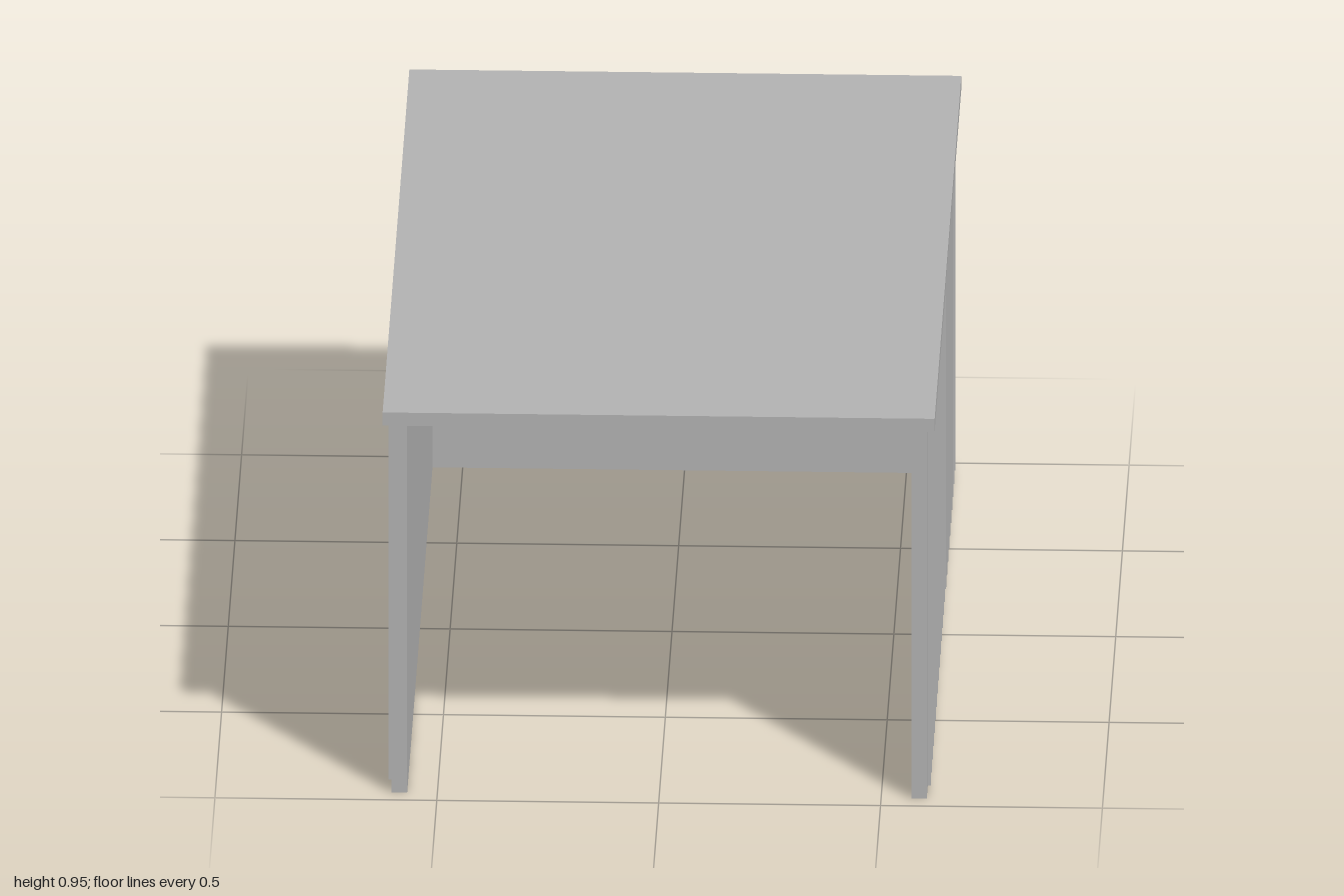
import * as THREE from 'three';

export function createModel() {
  const group = new THREE.Group();
  const grey = new THREE.MeshStandardMaterial({ color: 0xb2b2b2 });
  grey.name = 'light grey';

  // Box given by its minimum and maximum along each axis
  function box(name, [x0, x1], [y0, y1], [z0, z1], parent = group) {
    const mesh = new THREE.Mesh(new THREE.BoxGeometry(x1 - x0, y1 - y0, z1 - z0), grey);
    mesh.position.set((x0 + x1) / 2, (y0 + y1) / 2, (z0 + z1) / 2);
    mesh.name = name;
    parent.add(mesh);
  }

  // Flat overhanging roof and closed back
  box('roof', [-0.622, 0.622], [0.914, 0.946], [-1, 1]);
  box('backWall', [-0.601, 0.601], [0, 0.914], [-0.975, -0.94]);

  // Side walls with evenly spaced vertical ribs on the outside
  const ribCount = 25, ribSpan = 0.918, ribHalf = 0.005;
  for (const side of [-1, 1]) {
    const wall = new THREE.Group();
    wall.name = side > 0 ? 'leftSide' : 'rightSide';
    const across = (a, b) => (side > 0 ? [a, b] : [-b, -a]);
    box('sideWall', across(0.568, 0.603), [0, 0.914], [-0.956, 0.956], wall);
    for (let i = 0; i < ribCount; i++) {
      const z = ribSpan * (1 - (2 * i) / (ribCount - 1));
      box('wallRib', across(0.6, 0.611), [0.018, 0.905], [z - ribHalf, z + ribHalf], wall);
    }
    group.add(wall);
  }
  return group;
}
